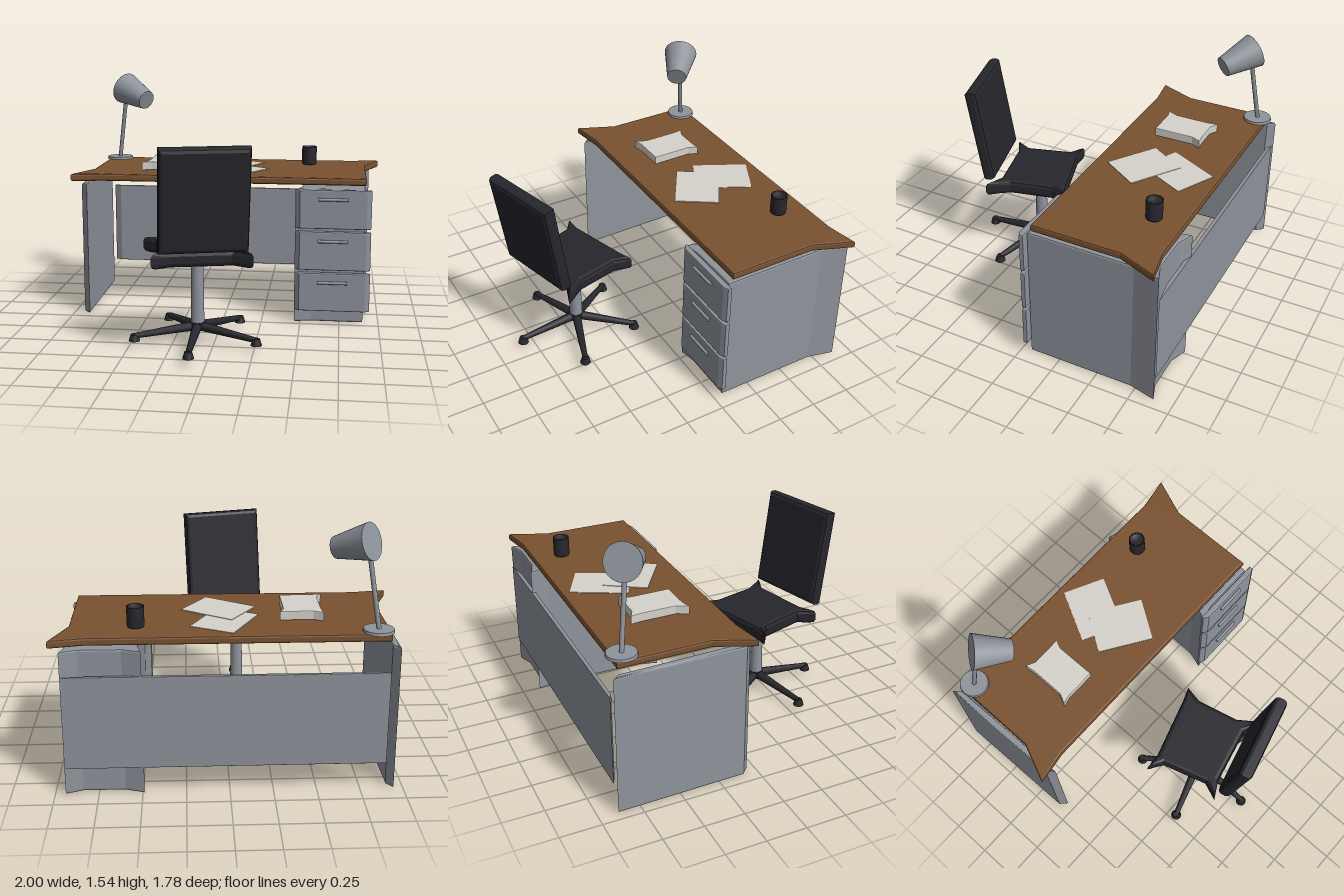
import * as THREE from 'three';

const mat = (name, color) => {
  const m = new THREE.MeshStandardMaterial({ color });
  m.name = name;
  return m;
};

export function createModel() {
  const wood = mat('brown wood', 0x7a5230);
  const metal = mat('grey metal', 0x8f949c);
  const black = mat('black padding', 0x26262d);
  const paper = mat('off-white paper', 0xd6d3cc);
  const model = new THREE.Group();
  model.name = 'officeDesk';

  const add = (parent, name, geometry, material) => {
    const mesh = new THREE.Mesh(geometry, material);
    mesh.name = name;
    parent.add(mesh);
    return mesh;
  };

  // Bevelled slab from a plan outline of [x, z] points, between two heights
  const slab = (points, y0, y1, b) => {
    const shape = new THREE.Shape(points.map(([x, z]) => new THREE.Vector2(x, z)));
    const g = new THREE.ExtrudeGeometry(shape, {
      depth: y1 - y0 - 2 * b, bevelEnabled: b > 0, bevelSize: b, bevelThickness: b,
      bevelOffset: -b, bevelSegments: 2,
    });
    return g.rotateX(Math.PI / 2).translate(0, y1 - b, 0);
  };
  const rect = (x0, x1, z0, z1) => [[x0, z0], [x1, z0], [x1, z1], [x0, z1]];

  // Tapered round bar from a to b
  const rod = (parent, name, a, b, ra, rb, material, sides = 16) => {
    const from = new THREE.Vector3(...a), to = new THREE.Vector3(...b);
    const dir = to.clone().sub(from);
    const mesh = add(parent, name, new THREE.CylinderGeometry(rb, ra, dir.length(), sides), material);
    mesh.position.copy(from).add(to).multiplyScalar(0.5);
    mesh.quaternion.setFromUnitVectors(new THREE.Vector3(0, 1, 0), dir.normalize());
    return mesh;
  };

  // Desk: top with two drawn-out corners, side panel, back panel
  const desk = new THREE.Group();
  desk.name = 'desk';
  model.add(desk);
  add(desk, 'deskTop', slab([
    [0.905, -0.085], [-0.79, -0.085], [-1, -0.055], [-0.9, -0.29],
    [-0.9, -0.845], [0.8, -0.845], [1, -0.88], [0.905, -0.64],
  ], 0.89, 0.937, 0.012), wood);
  add(desk, 'sidePanel', slab([
    [-0.945, -0.885], [-0.905, -0.84], [-0.893, -0.05], [-0.935, -0.09],
  ], 0.002, 0.872, 0.012), metal);
  add(desk, 'backPanel', slab([
    [-0.895, -0.888], [0.935, -0.89], [0.79, -0.865], [-0.85, -0.865],
  ], 0.165, 0.722, 0.004), metal);

  // Drawer cabinet
  add(desk, 'cabinet', slab([
    [0.46, -0.04], [0.57, -0.06], [0.9, -0.06], [0.9, -0.72], [0.94, -0.885],
    [0.84, -0.85], [0.6, -0.85], [0.49, -0.888], [0.51, -0.78], [0.5, -0.16],
  ], 0, 0.872, 0.012), metal);
  for (let i = 0; i < 3; i++) {
    const y = 0.082 + i * 0.27;
    add(desk, 'drawerFront', slab([
      [0.46, -0.055], [0.94, -0.055], [0.94, -0.03], [0.91, -0.017], [0.49, -0.017], [0.46, -0.04],
    ], y, y + 0.25, 0.007), metal);
    rod(desk, 'drawerHandle', [0.605, y + 0.19, -0.01], [0.795, y + 0.19, -0.01], 0.01, 0.01, metal, 10);
  }

  // Chair: the padding is turned, the five-legged base is not
  const chair = new THREE.Group();
  chair.name = 'chair';
  chair.position.set(-0.1, 0, 0.44);
  model.add(chair);
  const padding = new THREE.Group();
  padding.name = 'chairPadding';
  padding.rotation.y = Math.PI / 12;
  chair.add(padding);
  add(padding, 'seat', slab([
    [-0.305, -0.23], [-0.2, -0.21], [0.2, -0.225], [0.29, -0.235], [0.24, -0.13], [0.235, 0.14],
    [0.29, 0.29], [0.18, 0.215], [-0.18, 0.205], [-0.295, 0.235], [-0.225, 0.14], [-0.235, -0.15],
  ], 0.525, 0.618, 0.025), black);
  const back = add(padding, 'backrest',
    slab(rect(-0.26, 0.26, -0.31, 0.31), -0.042, 0.042, 0.025).rotateX(Math.PI / 2), black);
  back.position.set(0, 0.94, 0.322);
  back.rotation.x = 0.155;
  rod(chair, 'chairColumn', [0, 0.11, 0], [0, 0.53, 0], 0.042, 0.036, metal, 20);
  rod(chair, 'chairHub', [0, 0.085, 0], [0, 0.135, 0], 0.045, 0.045, black, 20);
  for (let i = 0; i < 5; i++) {
    const a = i * Math.PI * 0.4, x = Math.sin(a) * 0.385, z = Math.cos(a) * 0.385;
    rod(chair, 'chairLeg', [0, 0.11, 0], [x, 0.068, z], 0.03, 0.017, black, 10);
    rod(chair, 'chairFoot', [x, 0.038, z], [x, 0.078, z], 0.034, 0.022, black, 14);
  }

  // Loose sheets, paper stack and cup
  add(model, 'lowerSheet', slab(
    [[-0.02, -0.8], [0.22, -0.68], [0.06, -0.37], [-0.18, -0.49]], 0.936, 0.94, 0), paper);
  add(model, 'upperSheet', slab(
    [[0.27, -0.4], [0.12, -0.17], [-0.17, -0.36], [-0.02, -0.59]], 0.938, 0.943, 0), paper);
  add(model, 'paperStack', slab([
    [-0.545, -0.62], [-0.49, -0.592], [-0.36, -0.592], [-0.295, -0.597], [-0.32, -0.54],
    [-0.318, -0.288], [-0.51, -0.288], [-0.57, -0.272], [-0.538, -0.34], [-0.538, -0.55],
  ], 0.936, 0.99, 0.005), paper);
  const cup = add(model, 'cup', new THREE.LatheGeometry([
    [0, 0], [0.046, 0], [0.05, 0.01], [0.05, 0.122], [0.043, 0.122], [0.041, 0.1], [0, 0.1],
  ].map(([r, y]) => new THREE.Vector2(r, y)), 24), black);
  cup.position.set(0.525, 0.937, -0.665);

  // Desk lamp
  const lamp = new THREE.Group();
  lamp.name = 'lamp';
  model.add(lamp);
  rod(lamp, 'lampBase', [-0.83, 0.935, -0.79], [-0.83, 0.952, -0.79], 0.09, 0.086, metal, 28);
  rod(lamp, 'lampPole', [-0.83, 0.95, -0.79], [-0.765, 1.4, -0.73], 0.014, 0.014, metal, 12);
  rod(lamp, 'lampShade', [-0.775, 1.44, -0.745], [-0.6, 1.37, -0.61], 0.108, 0.064, metal, 28);
  return model;
}
